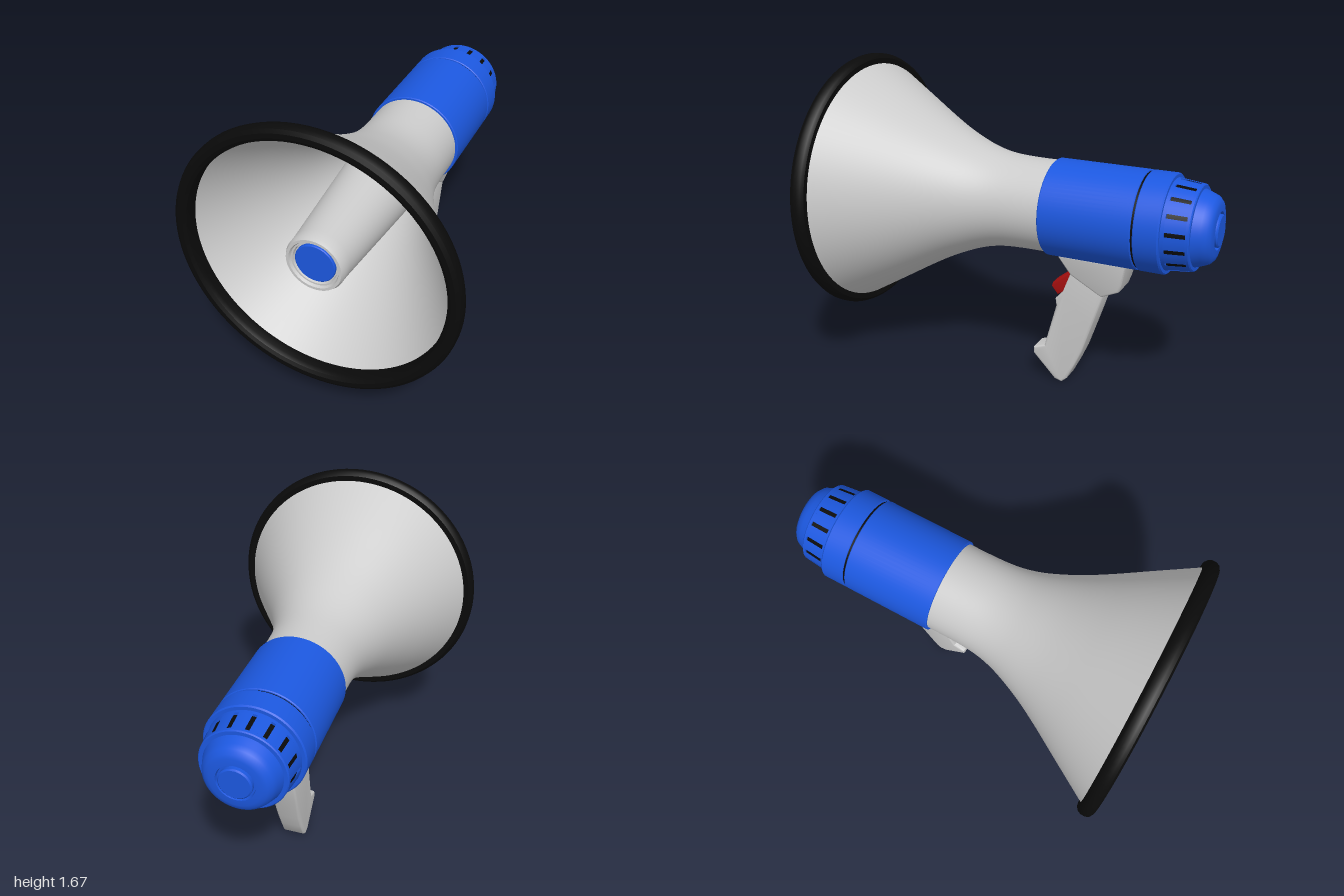
import * as THREE from 'three';
import { toCreasedNormals } from 'three/addons/utils/BufferGeometryUtils.js';

const AXIS_Y = 0.977;
const V = (a, b) => new THREE.Vector2(a, b);
const paint = (color) => new THREE.MeshStandardMaterial({ color, side: THREE.DoubleSide });
const grey = paint(0xcccccc);
const blue = paint(0x1c58e0);
const black = paint(0x0a0a0a);
const red = paint(0xaa1010);

// Turned part: profile of [radius, z] points spun around the horn axis
function turned(name, profile, material, segments = 72, start = 0, sweep = Math.PI * 2) {
  const points = profile.map((p) => V(p[0], p[1]));
  const geometry = new THREE.LatheGeometry(points, segments, start, sweep).rotateX(Math.PI / 2);
  const mesh = new THREE.Mesh(toCreasedNormals(geometry, 0.5), material);
  mesh.position.y = AXIS_Y;
  mesh.name = name;
  return mesh;
}

// Side outline of [z, y] points extruded across x; widthAt(y) scales the width
function slab(name, outline, halfWidth, bevel, material, widthAt = () => 1) {
  const geometry = new THREE.ExtrudeGeometry(new THREE.Shape(outline.map((p) => V(p[0], p[1]))), {
    depth: 2 * (halfWidth - bevel), bevelThickness: bevel, bevelSize: bevel,
    bevelOffset: -bevel, bevelSegments: 3,
  });
  geometry.translate(0, 0, bevel - halfWidth).rotateY(-Math.PI / 2);
  const pos = geometry.attributes.position;
  for (let i = 0; i < pos.count; i++) pos.setX(i, pos.getX(i) * widthAt(pos.getY(i)));
  const mesh = new THREE.Mesh(toCreasedNormals(geometry, 0.6), material);
  mesh.name = name;
  return mesh;
}

export function createModel() {
  const model = new THREE.Group();
  model.name = 'megaphone';

  // Flared bell with a thin wall
  const flare = new THREE.SplineCurve([
    V(0.237, -0.16), V(0.238, 0), V(0.246, 0.12), V(0.267, 0.22), V(0.303, 0.32),
    V(0.358, 0.44), V(0.43, 0.57), V(0.52, 0.72), V(0.645, 0.93),
  ]).getPoints(36).map((p) => [p.x, p.y]);
  const inside = flare.map(([r, z]) => [r - 0.008, z]).reverse();
  model.add(turned('bell', [...flare, ...inside], grey, 96));

  // Rubber rim
  model.add(turned('rim', [
    [0.625, 0.925], [0.67, 0.92], [0.685, 0.932], [0.693, 0.95], [0.693, 0.972],
    [0.685, 0.99], [0.668, 1], [0.645, 1], [0.629, 0.99], [0.621, 0.97], [0.625, 0.925],
  ], black, 96));

  // Dark throat floor and the tapered inner horn
  model.add(turned('throatFloor', [[0.234, -0.1], [0, -0.1]], black));
  model.add(turned('innerHorn', [
    [0.213, -0.1], [0.21, 0.02], [0.144, 0.9], [0.143, 0.95], [0.135, 0.968],
    [0.122, 0.968], [0.116, 0.955], [0.108, 0.955], [0.104, 0.94], [0, 0.94],
  ], grey));
  model.add(turned('innerHornPlug', [[0.098, 0.93], [0.098, 0.952], [0.094, 0.956], [0, 0.956]], blue, 48));

  // Body, seam and end collar
  model.add(turned('body', [
    [0, -0.627], [0.246, -0.627], [0.25, -0.623], [0.25, -0.153], [0.246, -0.148], [0.225, -0.148],
  ], blue));
  model.add(turned('seam', [[0.241, -0.65], [0.241, -0.61]], black));
  model.add(turned('collar', [
    [0, -0.765], [0.244, -0.765], [0.25, -0.758], [0.25, -0.642], [0.246, -0.638], [0, -0.638],
  ], blue));

  // Vented ring: dark core, solid bands at both ends, bars with slots between
  const radius = (z) => 0.228 + (z + 0.76) * 0.107;
  const band = (z0, z1) => [[radius(z0) - 0.014, z0], [radius(z0), z0], [radius(z1), z1], [radius(z1) - 0.014, z1]];
  model.add(turned('ventCore', [[radius(-0.895) - 0.012, -0.895], [radius(-0.76) - 0.012, -0.76]], black));
  model.add(turned('ventFrontBand', band(-0.782, -0.75), blue));
  model.add(turned('ventRearBand', [[0, -0.9], [radius(-0.9) - 0.005, -0.9], ...band(-0.895, -0.882).slice(1)], blue));
  const slots = 16, pitch = (Math.PI * 2) / slots, gap = 0.095;
  for (let i = 0; i < slots; i++) {
    model.add(turned('ventBar', band(-0.882, -0.782), blue, 4, 0.1 + i * pitch + gap / 2, pitch - gap));
  }

  // Rear dome with a groove around the end button
  model.add(turned('rearDome', [
    [0, -0.975], [0.09, -0.975], [0.094, -0.99], [0.125, -0.988], [0.146, -0.982],
    [0.165, -0.965], [0.176, -0.94], [0.192, -0.895],
  ], blue));
  model.add(turned('endButton', [[0, -1], [0.074, -1], [0.081, -0.994], [0.081, -0.97]], blue, 48));

  // Pistol grip: flares out to a saddle under the body
  model.add(slab('grip', [
    [-0.26, 0.66], [-0.215, 0.54], [-0.175, 0.495], [-0.18, 0.455], [-0.11, 0.205],
    [-0.047, 0.18], [-0.045, 0.145], [-0.17, 0.015], [-0.21, 0.003], [-0.24, 0.03],
    [-0.285, 0.12], [-0.325, 0.21], [-0.38, 0.375], [-0.44, 0.56], [-0.44, 0.66],
  ], 0.06, 0.012, grey, (y) => 1 + 0.2 * THREE.MathUtils.smoothstep(y, 0.15, 0.5)));
  model.add(slab('saddle', [
    [-0.195, 0.755], [-0.265, 0.65], [-0.43, 0.55], [-0.525, 0.597], [-0.54, 0.64], [-0.567, 0.755],
  ], 0.1, 0.012, grey, (y) => THREE.MathUtils.mapLinear(y, 0.55, 0.755, 0.74, 1.05)));

  // Trigger
  model.add(slab('trigger', [
    [-0.28, 0.66], [-0.25, 0.65], [-0.15, 0.572], [-0.143, 0.55], [-0.178, 0.508], [-0.26, 0.56],
  ], 0.045, 0.008, red));

  return model;
}
